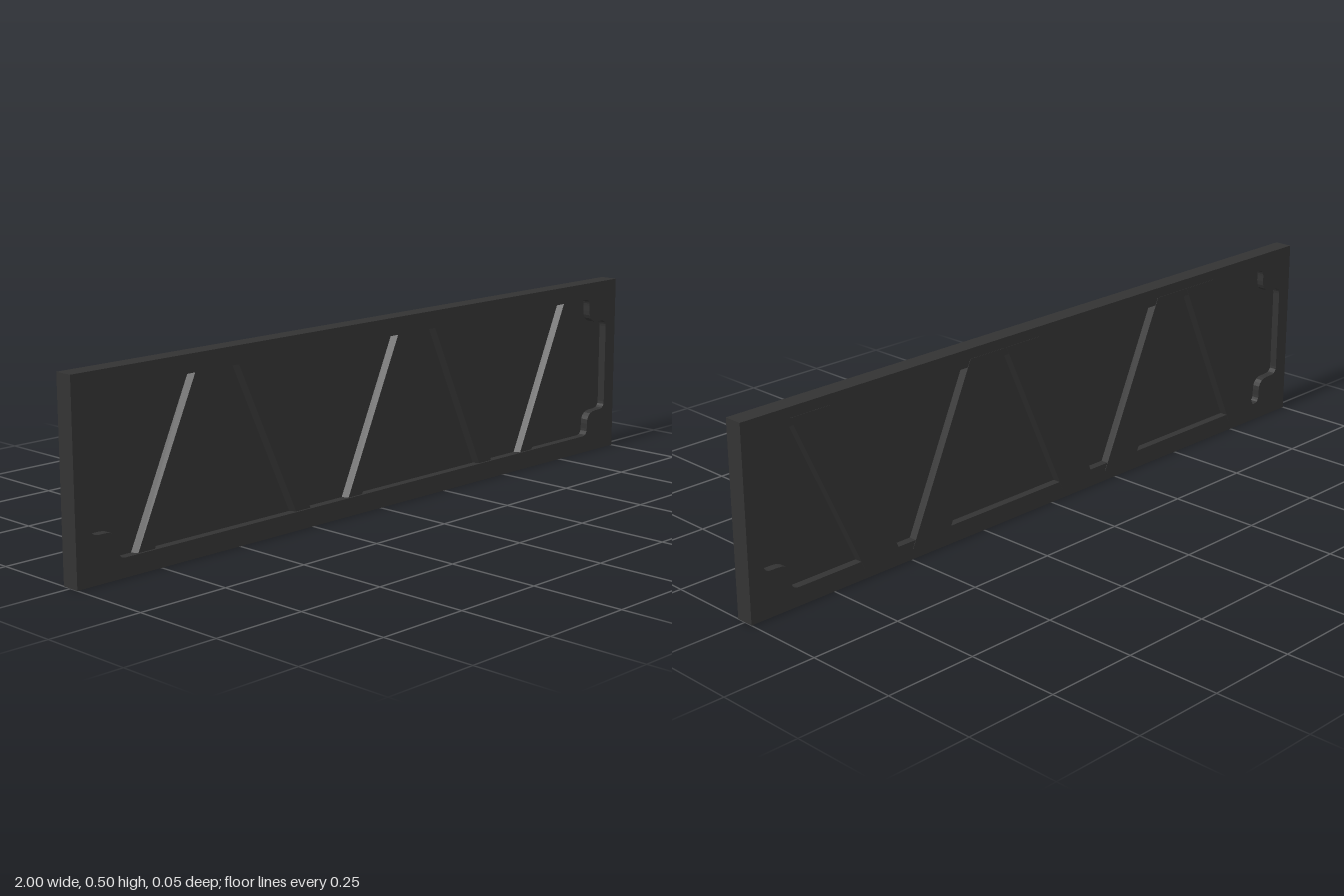
import * as THREE from 'three';

const material = new THREE.MeshStandardMaterial({ color: 0x333333, flatShading: true });
const FRONT = 0.0255, BACK = -0.0245, MID_Y = 0.252;

// Opening outline: a rectangle whose corners are cut by S-shaped notches
function openingPoints() {
  const hw = 0.957, hh = 0.203;
  // quarter curve from the side edge up to the top edge, as insets from the corner
  const notch = new THREE.Path();
  notch.moveTo(0, 0.09);
  notch.quadraticCurveTo(0, 0.07, 0.025, 0.07);
  notch.lineTo(0.04, 0.07);
  notch.quadraticCurveTo(0.079, 0.07, 0.079, 0.035);
  notch.lineTo(0.079, 0.02);
  notch.quadraticCurveTo(0.079, 0, 0.1, 0);
  const corner = notch.getPoints(5);
  const points = [];
  for (const [sx, sy] of [[1, 1], [-1, 1], [-1, -1], [1, -1]]) {
    const part = corner.map(p => new THREE.Vector2(sx * (hw - p.x), MID_Y + sy * (hh - p.y)));
    points.push(...(sx * sy > 0 ? part : part.reverse()));
  }
  return points;
}

// One leaning brace: wide on the back, a narrow bevelled rib on the front
function createBrace(centerX, lean) {
  const y0 = 0.028, y1 = 0.475;
  const profile = [[-0.06, 0.0255], [0.06, 0.0255], [0.06, -0.002], [0.034, -0.002],
    [0.025, -0.02], [-0.025, -0.02], [-0.034, -0.002], [-0.06, -0.002]];
  // drawn with y as -z, so that it stands upright after the turn
  const shape = new THREE.Shape(profile.map(([x, nz]) => new THREE.Vector2(x, -nz * -1)));
  const geometry = new THREE.ExtrudeGeometry(shape, { depth: y1 - y0, bevelEnabled: false });
  geometry.rotateX(-Math.PI / 2);
  geometry.translate(centerX, y0, 0);
  // shear sideways, keeping the ends level
  const pos = geometry.attributes.position;
  for (let i = 0; i < pos.count; i++) {
    pos.setX(i, pos.getX(i) + lean * 0.46 * (pos.getY(i) - MID_Y));
  }
  geometry.computeVertexNormals();
  return new THREE.Mesh(geometry, material);
}

export function createModel() {
  const group = new THREE.Group();
  group.name = 'bracedPanel';

  // Outer frame with the notched opening
  const outline = new THREE.Shape([
    new THREE.Vector2(-1, 0), new THREE.Vector2(1, 0),
    new THREE.Vector2(1, 0.502), new THREE.Vector2(-1, 0.502)
  ]);
  outline.holes.push(new THREE.Path(openingPoints()));
  const frameGeometry = new THREE.ExtrudeGeometry(outline, { depth: FRONT - BACK, bevelEnabled: false });
  frameGeometry.translate(0, 0, BACK);
  const frame = new THREE.Mesh(frameGeometry, material);
  frame.name = 'frame';
  group.add(frame);

  // Thin infill sheet halfway through the frame
  const sheet = new THREE.Mesh(new THREE.BoxGeometry(1.94, 0.43, 0.006), material);
  sheet.name = 'infillSheet';
  sheet.position.set(0, MID_Y, 0);
  group.add(sheet);

  // Zigzag braces
  const braces = new THREE.Group();
  braces.name = 'braces';
  [-0.697, -0.372, 0.003, 0.333, 0.697].forEach((x, i) => {
    const brace = createBrace(x, i % 2 === 0 ? 1 : -1);
    brace.name = 'brace' + (i + 1);
    braces.add(brace);
  });
  group.add(braces);
  return group;
}
